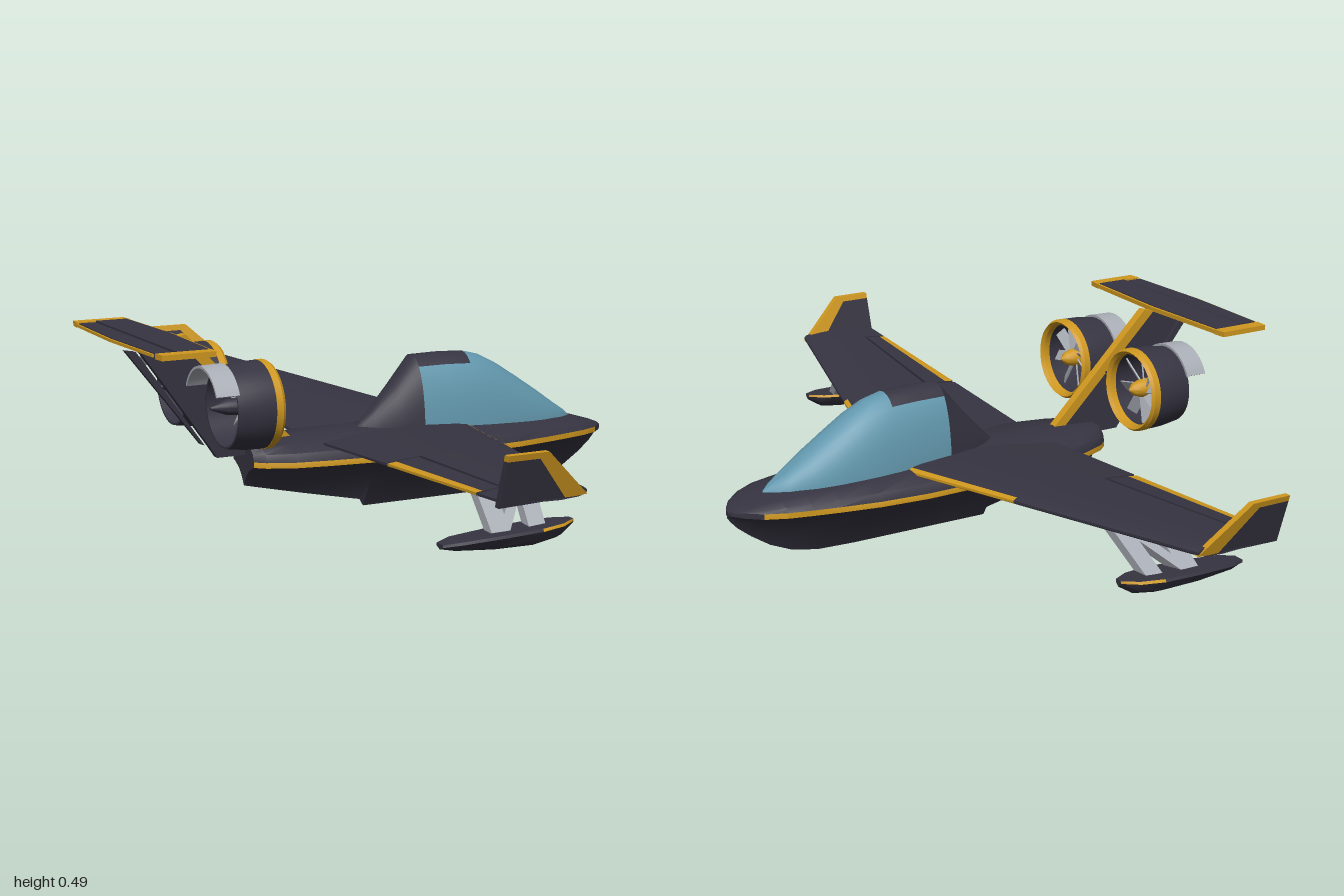
import * as THREE from 'three';
import { toCreasedNormals } from 'three/addons/utils/BufferGeometryUtils.js';

const paint = (name, color) => Object.assign(new THREE.MeshStandardMaterial({ color }), { name });
const lerp = THREE.MathUtils.lerp;

export function createModel() {
  const dark = paint('charcoal', 0x363441), gold = paint('gold', 0xcf981f);
  const glass = paint('canopy blue', 0x6398ae), grey = paint('light grey', 0xa9adb5);
  const model = new THREE.Group();
  model.name = 'seaplane';

  // Skin over closed rings of [x, y, z]; pick(i, j) chooses the material of a panel.
  function loft(name, rings, pick, parent = model, caps = true) {
    const choose = typeof pick === 'function' ? pick : () => pick;
    const bins = new Map();
    const tri = (m, ...p) => { if (!bins.has(m)) bins.set(m, []); bins.get(m).push(p); };
    const m = rings[0].length;
    for (let i = 0; i + 1 < rings.length; i++) for (let j = 0; j < m; j++) {
      const k = (j + 1) % m, mat = choose(i, j);
      const [a, b, c, d] = [rings[i][j], rings[i][k], rings[i + 1][k], rings[i + 1][j]];
      tri(mat, a, b, c);
      tri(mat, a, c, d);
    }
    if (caps) [0, rings.length - 1].forEach((i, end) => {
      const r = rings[i], mid = [0, 1, 2].map(q => r.reduce((s, p) => s + p[q], 0) / m);
      for (let j = 0; j < m; j++) {
        const k = (j + 1) % m;
        if (end) tri(choose(i - 1, -1), mid, r[j], r[k]);
        else tri(choose(0, -1), mid, r[k], r[j]);
      }
    });
    // The signed volume tells whether the faces point outwards
    let volume = 0;
    const V = p => new THREE.Vector3(...p);
    for (const list of bins.values()) for (const [a, b, c] of list) volume += V(a).dot(V(b).cross(V(c)));
    const pos = [], geo = new THREE.BufferGeometry(), mats = [];
    for (const [mat, list] of bins) {
      geo.addGroup(pos.length / 3, list.length * 3, mats.length);
      mats.push(mat);
      for (const [a, b, c] of list) pos.push(...a, ...(volume < 0 ? [...c, ...b] : [...b, ...c]));
    }
    geo.setAttribute('position', new THREE.Float32BufferAttribute(pos, 3));
    const mesh = new THREE.Mesh(toCreasedNormals(geo, 0.6), mats.length > 1 ? mats : mats[0]);
    mesh.name = name;
    parent.add(mesh);
    return mesh;
  }
  // Upright plate from a side outline; zAt gives its middle at a height
  const plate = (name, outline, zAt, half, mat, parent) =>
    loft(name, [-half, half].map(h => outline.map(([x, y]) => [x, y, zAt(y) + h])), mat, parent);
  // Profile of [x, radius] swept round a shaft along x; angle 0 is up
  function sweep(name, profile, y, z, mat, parent, a0 = 0, a1 = Math.PI * 2, n = 36) {
    const rings = [];
    for (let i = 0; i <= n; i++) {
      const a = lerp(a0, a1, i / n);
      rings.push(profile.map(([x, r]) => [x, y + r * Math.cos(a), z + r * Math.sin(a)]));
    }
    return loft(name, rings, mat, parent, a1 - a0 < 6.28);
  }
  const slab = (name, z0, z1, y0, y1, xa0, xb0, xa1, xb1, mat) => loft(name,
    [[z0, xa0, xb0], [z1, xa1, xb1]].map(([z, a, b]) => [[a, y0, z], [b, y0, z], [b, y1, z], [a, y1, z]]), mat);

  // Hull: x, half width, keel height, deck height
  const hull = [
    [-0.355, 0.062, 0.09, 0.2], [-0.33, 0.085, 0.084, 0.203], [-0.26, 0.115, 0.068, 0.207], [-0.18, 0.13, 0.05, 0.21],
    [-0.03, 0.15, 0.018, 0.212], [-0.02, 0.15, 0, 0.212], [0.1, 0.162, 0, 0.212], [0.23, 0.166, 0, 0.208],
    [0.36, 0.156, 0, 0.202], [0.46, 0.138, 0.003, 0.196], [0.53, 0.123, 0.016, 0.192], [0.59, 0.108, 0.042, 0.186],
    [0.64, 0.083, 0.075, 0.175], [0.675, 0.05, 0.103, 0.164], [0.692, 0.025, 0.122, 0.157], [0.7, 0.008, 0.133, 0.152]];
  loft('hull', hull.map(([x, w, k, d], i) => {
    const c = i < 12 ? 0.147 : lerp(0.147, 0.142, (i - 11) / 4), s = Math.min(c + 0.014, d - 0.006);
    const half = [[0.22, k + 0.42 * (c - k)], [0.5, k + 0.74 * (c - k)], [0.82, k + 0.92 * (c - k)], [1, c], [1, s],
      [0.92, lerp(s, d, 0.45)], [0.65, lerp(s, d, 0.85)]];
    return [[x, k, 0], ...half.map(([f, y]) => [x, y, f * w]), [x, d, 0],
      ...half.reverse().map(([f, y]) => [x, y, -f * w])];
  }), (i, j) => (i < 12 && (j === 4 || j === 11) ? gold : dark));

  // Canopy and the fairing behind it: x, half width, top
  const N = 18;
  const dome = ([x, w, top]) => Array.from({ length: N + 1 }, (_, j) => {
    const a = Math.PI * j / N, c = Math.cos(a);
    return [x, 0.165 + (top - 0.165) * Math.sin(a) ** 0.9, w * Math.sign(c) * Math.abs(c) ** 0.9];
  });
  loft('canopy', [[0.12, 0.08, 0.386], [0.2, 0.087, 0.387], [0.27, 0.09, 0.384], [0.32, 0.09, 0.371], [0.37, 0.087, 0.345],
    [0.43, 0.08, 0.306], [0.49, 0.068, 0.266], [0.55, 0.047, 0.224], [0.585, 0.027, 0.201], [0.605, 0.006, 0.185]].map(dome),
  (i, j) => (i < 2 && j >= 6 && j < 12 ? dark : glass));
  loft('canopyFairing', [[-0.05, 0.01, 0.2], [0, 0.04, 0.25], [0.06, 0.064, 0.315], [0.12, 0.08, 0.386]].map(dome), dark);

  // Wing section at span z through the given chord fractions
  function wingRing(z, us, s) {
    const t = (z - 0.15) / 0.81, le = lerp(0.235, 0.02, t), te = lerp(-0.18, -0.2, t);
    const y = lerp(0.199, 0.241, t), T = lerp(0.032, 0.024, t);
    const at = (u, side) => [lerp(le, te, u), y + side * (0.003 + T * 1.2 * Math.sqrt(u) * (1 - u)), z * s];
    return [...us.map(u => at(u, 1)), ...[...us].reverse().map(u => at(u, -1))];
  }
  const full = [0, 0.03, 0.1, 0.3, 0.6, 0.85, 1], front = [0, 0.03, 0.1, 0.3, 0.5, 0.73];
  for (const s of [1, -1]) {
    const wing = new THREE.Group();
    wing.name = s > 0 ? 'leftWing' : 'rightWing';
    model.add(wing);
    const span = (name, za, zb, us, pick) => loft(name, [wingRing(za, us, s), wingRing(zb, us, s)], pick, wing);
    span('innerWing', 0.06, 0.435, full, (i, j) => (j === 0 || j >= 11 ? gold : dark));
    span('midWing', 0.435, 0.875, front, dark);
    span('outerWing', 0.875, 0.965, full, dark);
    span('aileron', 0.445, 0.865, [0.76, 0.85, 0.93, 1], (i, j) => (j >= 2 && j <= 4 ? gold : dark));

    // Winglet leaning outwards with a gold edge
    const lean = y => s * (0.958 + (y - 0.235) * 0.31);
    plate('winglet', [[-0.2, 0.225], [-0.035, 0.23], [-0.12, 0.331], [-0.2, 0.331]], lean, 0.008, dark, wing);
    plate('wingletFrontEdge', [[-0.035, 0.23], [0.02, 0.234], [-0.1, 0.345], [-0.12, 0.331]], lean, 0.008, gold, wing);
    plate('wingletTopEdge', [[-0.2, 0.331], [-0.12, 0.331], [-0.1, 0.345], [-0.2, 0.345]], lean, 0.008, gold, wing);

    // Wing float on an N of struts
    loft('wingFloat', [[-0.24, 0.015, 0.1, 0.112], [-0.2, 0.033, 0.091, 0.117], [-0.1, 0.043, 0.082, 0.122],
      [0, 0.045, 0.08, 0.126], [0.06, 0.034, 0.09, 0.129], [0.1, 0.01, 0.115, 0.131]].map(([x, w, b, t]) =>
      [[0, b], [w * 0.7, lerp(b, t, 0.35)], [w, t - 0.006], [w * 0.9, t], [-w * 0.9, t], [-w, t - 0.006],
        [-w * 0.7, lerp(b, t, 0.35)]].map(([z, y]) => [x, y, s * (0.785 + z)])),
    (i, j) => (i > 2 && (j === 2 || j === 4) ? gold : dark), wing);
    for (const [x0, x1, w] of [[-0.09, -0.075, 0.024], [0.005, 0.035, 0.022], [-0.08, 0.03, 0.014]])
      loft('floatStrut', [[x0, 0.115, 0.785], [x1, 0.213, 0.67]].map(([x, y, z]) =>
        [[-w, -1], [w, -1], [w, 1], [-w, 1]].map(([dx, q]) => [x + dx, y + q * 0.008, s * (z + q * 0.01)])), grey, wing);

    // Ducted fan
    const fan = new THREE.Group(), y = 0.327, z = s * 0.16;
    fan.name = s > 0 ? 'leftFan' : 'rightFan';
    model.add(fan);
    sweep('duct', [[-0.385, 0.107], [-0.43, 0.106], [-0.48, 0.099], [-0.48, 0.094], [-0.385, 0.094]], y, z, dark, fan);
    sweep('ductLip', [[-0.385, 0.108], [-0.368, 0.108], [-0.36, 0.102], [-0.368, 0.094], [-0.385, 0.094]], y, z, gold, fan);
    sweep('rearShroud', [[-0.475, 0.106], [-0.533, 0.104], [-0.533, 0.098], [-0.475, 0.099]], y, z, grey, fan, -1.13, 1.13, 20);
    const disc = r => ([x, k]) => Array.from({ length: 20 }, (_, i) =>
      [x, y + r * k * Math.cos(i * Math.PI / 10), z + r * k * Math.sin(i * Math.PI / 10)]);
    loft('spinner', [[-0.42, 1], [-0.395, 0.95], [-0.375, 0.65], [-0.362, 0.1]].map(disc(0.024)), gold, fan);
    loft('motorPod', [[-0.51, 0.15], [-0.47, 0.8], [-0.42, 1]].map(disc(0.023)), dark, fan);
    for (let i = 0; i < 8; i++) {
      const arm = new THREE.Group();
      arm.position.set(-0.41, y, z);
      arm.rotation.x = i * Math.PI / 4 + 0.2;
      const blade = new THREE.Mesh(new THREE.BoxGeometry(0.004, 0.075, 0.03), grey);
      blade.name = 'fanBlade';
      blade.position.y = 0.056;
      blade.rotation.y = s * 0.6;
      arm.add(blade);
      fan.add(arm);
    }
    loft('fanPylon', [0, 0.062].map(q => [[-0.46, y - 0.008], [-0.39, y - 0.008], [-0.39, y + 0.008], [-0.46, y + 0.008]]
      .map(([px, py]) => [px, py, s * q])), dark, fan);

    // Tailplane tip
    slab('tailplaneTip', s * 0.265, s * 0.3, 0.476, 0.489, -0.688, -0.548, -0.685, -0.552, gold);

    // Tailplane half with elevator
    slab('stabilizer', 0, s * 0.265, 0.475, 0.49, -0.637, -0.545, -0.637, -0.556, dark);
    slab('stabilizerFrontEdge', 0, s * 0.265, 0.477, 0.488, -0.545, -0.538, -0.556, -0.549, gold);
    slab('elevator', 0, s * 0.255, 0.477, 0.488, -0.695, -0.643, -0.686, -0.643, dark);
    slab('elevatorRearEdge', 0, s * 0.255, 0.479, 0.486, -0.7, -0.695, -0.691, -0.686, gold);
  }

  // Swept fin, its gold front edge and the rudder
  const centre = () => 0;
  plate('fin', [[-0.54, 0.478], [-0.26, 0.2], [-0.34, 0.17], [-0.43, 0.17], [-0.45, 0.2], [-0.628, 0.452], [-0.66, 0.478]],
    centre, 0.01, dark);
  plate('finFrontEdge', [[-0.54, 0.478], [-0.51, 0.485], [-0.225, 0.2], [-0.26, 0.2]], centre, 0.012, gold);
  plate('rudder', [[-0.664, 0.455], [-0.636, 0.45], [-0.462, 0.204], [-0.472, 0.208]], centre, 0.008, dark);
  return model;
}
